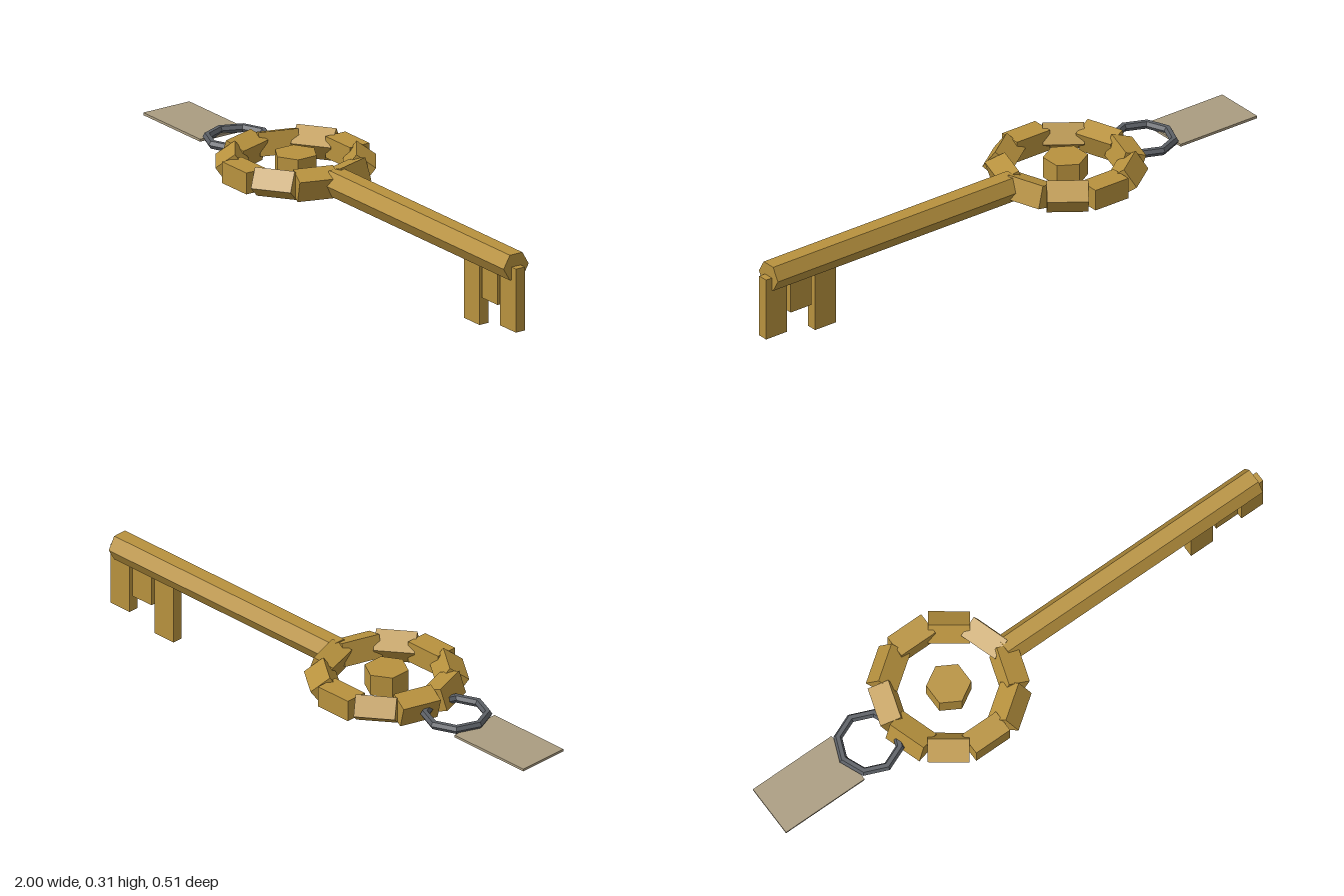
import * as THREE from 'three';

export function createModel() {
  const model = new THREE.Group();
  const mat = (name, color) => {
    const m = new THREE.MeshStandardMaterial({ color, flatShading: true });
    m.name = name;
    return m;
  };
  const brass = mat('brass', 0xb8923e);
  const steel = mat('steel', 0x5c6066);
  const card = mat('tagCard', 0xaa9c80);

  const add = (name, geometry, material, x, y, z = 0, parent = model) => {
    const mesh = new THREE.Mesh(geometry, material);
    mesh.name = name;
    mesh.position.set(x, y, z);
    parent.add(mesh);
    return mesh;
  };

  // Bow: ten blocks in a circle, each rolled a little further than the last
  const bow = new THREE.Group();
  bow.name = 'bow';
  bow.position.set(-0.27, 0.255, 0);
  model.add(bow);
  const block = new THREE.BoxGeometry(0.138, 0.075, 0.08);
  for (let i = 0; i < 10; i++) {
    const angle = (i / 10) * Math.PI * 2;
    const spoke = new THREE.Group();
    spoke.name = 'bowSegment';
    spoke.rotation.y = angle;
    bow.add(spoke);
    add('bowBlock', block, brass, 0, 0, 0.211, spoke).rotation.x = -angle;
  }

  // Six-sided stud in the middle of the bow
  add('centreStud', new THREE.CylinderGeometry(0.075, 0.075, 0.075, 6), brass, 0, 0, 0, bow);

  // Six-sided shaft lying along x, flat side up
  const shaft = new THREE.CylinderGeometry(0.051, 0.051, 1.02, 6);
  shaft.rotateZ(Math.PI / 2);
  add('shaft', shaft, brass, 0.463, 0.255);

  // Teeth: centre x and bottom y
  for (const [x, bottom] of [[0.748, 0], [0.85, 0.1], [0.953, 0.033]]) {
    const h = 0.256 - bottom;
    add('tooth', new THREE.BoxGeometry(0.088, h, 0.037), brass, x, bottom + h / 2);
  }

  // Split ring through the bow
  const ring = new THREE.TorusGeometry(0.104, 0.015, 6, 8);
  ring.rotateX(Math.PI / 2);
  add('keyRing', ring, steel, -0.595, 0.247);

  // Flat tag hanging from the ring
  add('tag', new THREE.BoxGeometry(0.32, 0.009, 0.187), card, -0.84, 0.234);

  return model;
}
